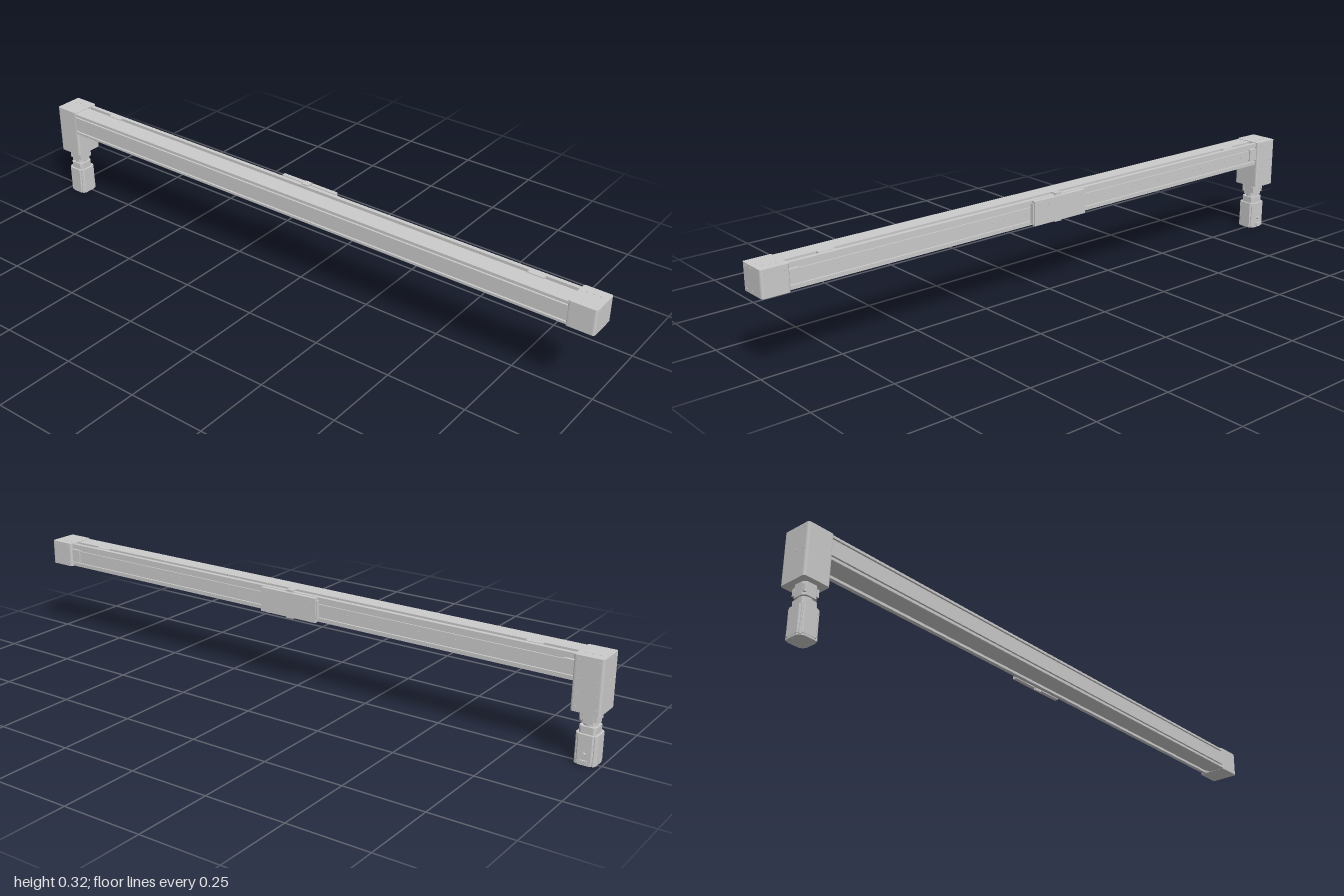
import * as THREE from 'three';

const mat = new THREE.MeshStandardMaterial({ color: 0xcccccc, flatShading: false });

export function createModel() {
  const model = new THREE.Group();
  model.name = 'linearActuator';

  const add = (name, geometry, x = 0, y = 0, z = 0) => {
    const m = new THREE.Mesh(geometry, mat);
    m.name = name;
    m.position.set(x, y, z);
    model.add(m);
    return m;
  };
  // box given by its limits on each axis
  const box = (name, x0, x1, y0, y1, z0, z1) =>
    add(name, new THREE.BoxGeometry(x1 - x0, y1 - y0, z1 - z0), (x0 + x1) / 2, (y0 + y1) / 2, (z0 + z1) / 2);
  const cyl = (name, r, h, x, y, z, axis = 'y', sides = 16) => {
    const m = add(name, new THREE.CylinderGeometry(r, r, h, sides), x, y, z);
    if (axis === 'x') m.rotation.z = Math.PI / 2;
    if (axis === 'z') m.rotation.x = Math.PI / 2;
    return m;
  };
  // rectangle with cut (straight) or rounded corners
  const plate = (w, d, c, round) => {
    const s = new THREE.Shape(), a = w / 2, b = d / 2;
    const corner = (px, py, x, y) => (round ? s.quadraticCurveTo(px, py, x, y) : s.lineTo(x, y));
    s.moveTo(-a + c, -b);
    s.lineTo(a - c, -b); corner(a, -b, a, -b + c);
    s.lineTo(a, b - c); corner(a, b, a - c, b);
    s.lineTo(-a + c, b); corner(-a, b, -a, b - c);
    s.lineTo(-a, -b + c); corner(-a, -b, -a + c, -b);
    return s;
  };
  // upright prism standing on y0
  const prism = (name, w, d, c, y0, y1, x, z, round = false) => {
    const g = new THREE.ExtrudeGeometry(plate(w, d, c, round), { depth: y1 - y0, bevelEnabled: false, curveSegments: 5 });
    g.rotateX(-Math.PI / 2);
    return add(name, g, x, y0, z);
  };

  // Beam profile: first value is -z, second is y
  const profile = [
    [-0.048, 0.238], [0.004, 0.238], [0.004, 0.246], [0.02, 0.246], [0.02, 0.238], [0.033, 0.238],
    [0.033, 0.25], [0.027, 0.25], [0.027, 0.302], [0.033, 0.302],
    [0.033, 0.314], [0.02, 0.314], [0.02, 0.304], [0.004, 0.304], [0.004, 0.314], [-0.048, 0.314],
    [-0.05, 0.312], [-0.05, 0.305], [-0.044, 0.305], [-0.044, 0.299], [-0.05, 0.299],
    [-0.05, 0.253], [-0.044, 0.253], [-0.044, 0.247], [-0.05, 0.247], [-0.05, 0.24],
  ].map(([a, b]) => new THREE.Vector2(a, b));
  const beam = new THREE.ExtrudeGeometry(new THREE.Shape(profile), { depth: 1.84, bevelEnabled: false });
  beam.rotateY(Math.PI / 2);
  add('beam', beam, -0.92);

  // Ridge in the top slot and cover strip with its row of screws on the back
  box('topSlotRidge', -0.915, 0.915, 0.303, 0.309, -0.014, -0.01);
  box('coverStrip', -0.9, 0.9, 0.26, 0.292, -0.031, -0.026);
  for (let i = 0; i < 45; i++) cyl('stripScrew', 0.0025, 0.002, -0.88 + i * 0.04, 0.276, -0.0315, 'z', 8);

  // End housings: drive head at -x, idler cap at +x
  prism('driveHead', 0.085, 0.094, 0.008, 0.157, 0.316, -0.9575, 0.004, true);
  prism('idlerCap', 0.085, 0.094, 0.008, 0.237, 0.316, 0.9575, 0.004, true);
  for (const side of [-1, 1]) {
    for (const z of [0.035, 0.008])
      for (const y of [0.307, 0.244]) cyl('endScrew', 0.004, 0.003, side * 0.9995, y, z, 'x');
    for (const dx of [-0.028, 0.028])
      for (const y of [0.25, 0.303]) cyl('backScrew', 0.0035, 0.002, side * 0.9575 + dx, y, -0.0435, 'z', 12);
    for (const dx of [-0.02, 0, 0.02]) cyl('topScrew', 0.003, 0.002, side * 0.9575 + dx, 0.3162, -0.015, 'y', 12);
    box('stripClamp', side * 0.9 - 0.016, side * 0.9 + 0.016, 0.256, 0.296, -0.036, -0.027);
  }
  for (const dx of [-0.028, 0.028])
    for (const y of [0.17, 0.21]) cyl('headScrew', 0.0035, 0.002, -0.9575 + dx, y, -0.0435, 'z', 12);

  // Carriage on the back, with mounting holes
  box('carriage', -0.1, 0.1, 0.238, 0.314, -0.05, -0.037);
  box('carriageNeck', -0.09, 0.09, 0.256, 0.296, -0.038, -0.028);
  for (const x of [-0.085, -0.045, 0.045, 0.085])
    for (const y of [0.25, 0.302]) cyl('carriageScrew', 0.0035, 0.002, x, y, -0.05, 'z', 12);
  for (const s of [-1, 1]) box('wiper', s * 0.1 - 0.004, s * 0.1 + 0.004, 0.245, 0.307, -0.046, -0.034);

  // Position switch above and below the carriage
  box('switchBracket', -0.012, 0.012, 0.231, 0.32, -0.041, -0.034);
  box('switchTop', -0.012, 0.012, 0.317, 0.321, -0.042, -0.02);
  cyl('switchPin', 0.004, 0.004, 0, 0.32, -0.038);
  for (const x of [-0.79, 0.79]) box('limitSensor', x - 0.025, x + 0.025, 0.303, 0.315, -0.019, -0.006);

  // Gear adapter under the drive head
  const mx = -0.957, mz = 0.008;
  prism('adapter', 0.048, 0.048, 0.009, 0.118, 0.158, mx, mz);
  for (const sx of [-1, 1])
    for (const sz of [-1, 1]) box('adapterLug', mx + sx * 0.02 - 0.004, mx + sx * 0.02 + 0.004, 0.126, 0.148, mz + sz * 0.02 - 0.004, mz + sz * 0.02 + 0.004);
  cyl('neck', 0.02, 0.012, mx, 0.114, mz, 'y', 32);
  prism('flange', 0.05, 0.05, 0.007, 0.089, 0.11, mx, mz);

  // Motor: chamfered body, corner tie bars, feet and connectors
  prism('motorBody', 0.064, 0.064, 0.012, 0.006, 0.089, mx, mz);
  prism('motorEndPlate', 0.062, 0.062, 0.013, 0, 0.008, mx, mz);
  for (const sx of [-1, 1])
    for (const sz of [-1, 1]) {
      cyl('tieBar', 0.003, 0.082, mx + sx * 0.0255, 0.048, mz + sz * 0.0255, 'y', 10);
      cyl('motorFoot', 0.005, 0.017, mx + sx * 0.0245, 0.0095, mz + sz * 0.0245, 'y', 10);
    }
  cyl('powerConnector', 0.005, 0.008, mx, 0.034, -0.027, 'z');
  box('signalConnector', mx - 0.01, mx + 0.01, 0.004, 0.016, -0.029, -0.022);

  return model;
}
